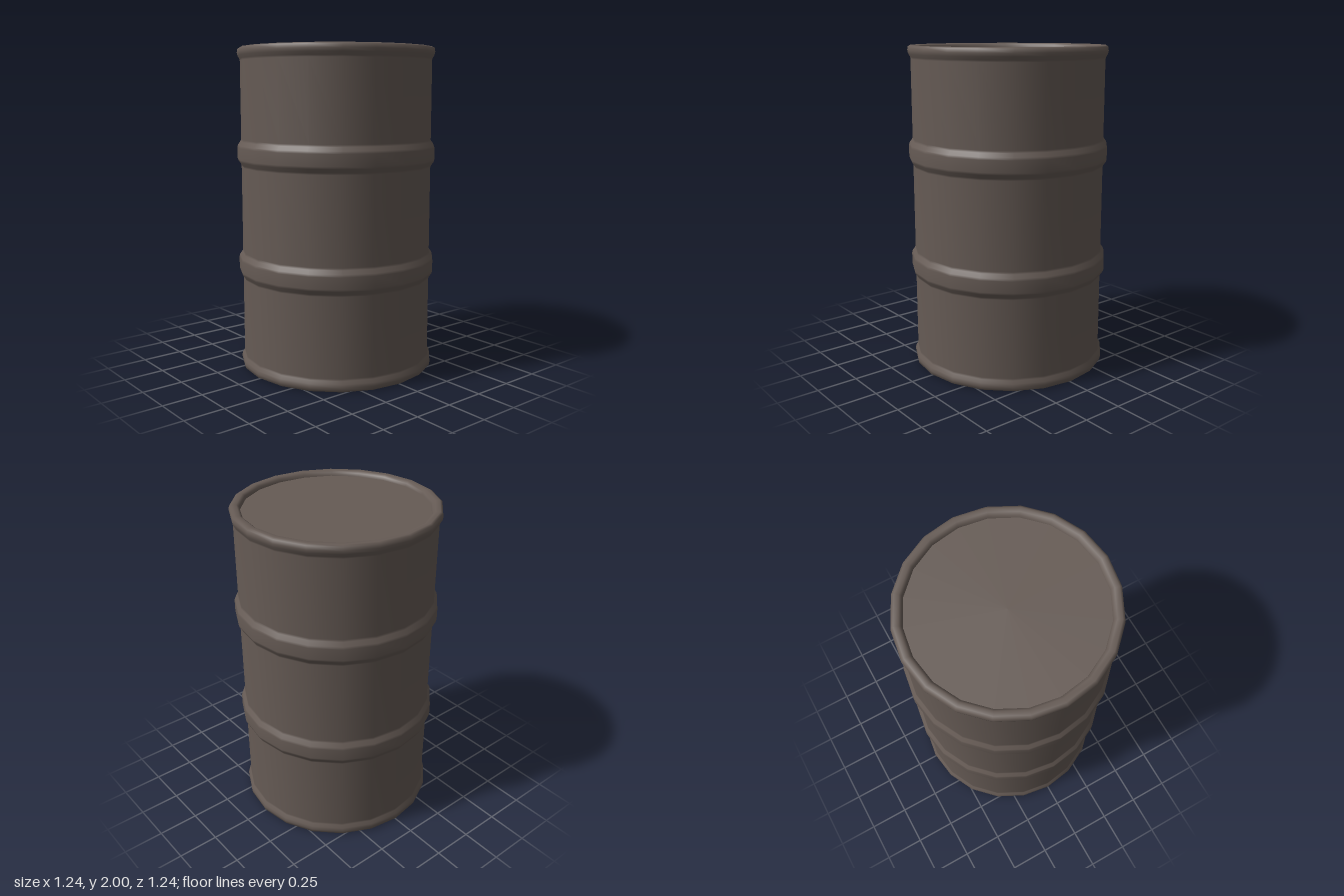
import * as THREE from 'three';

const SIDES = 20;
const LID_RADIUS = 0.55;
const RECESS = 0.03;

export function createModel() {
  const drum = new THREE.Group();
  drum.name = 'drum';
  const paint = new THREE.MeshStandardMaterial({ color: 0x665b55 });
  paint.name = 'drab brown paint';

  // Rim section, from the recessed end up and over the lip to the wall
  const rim = [
    [LID_RADIUS, RECESS], [0.555, 0.012], [0.57, 0.001], [0.597, 0],
    [0.611, 0.008], [0.615, 0.03], [0.611, 0.05], [0.6, 0.068], [0.597, 0.08],
  ];
  // Rolled hoop section, relative to the hoop's middle
  const hoop = [
    [0.597, -0.085], [0.601, -0.072], [0.617, -0.05], [0.621, -0.035],
    [0.621, 0.035], [0.617, 0.05], [0.601, 0.072], [0.597, 0.085],
  ];
  const hoopAt = (y) => hoop.map(([r, dy]) => [r, y + dy]);
  const topRim = rim.map(([r, y]) => [r, 2 - y]).reverse();

  // Shell with rims and two hoops, turned in one piece
  const profile = [...rim, ...hoopAt(0.655), ...hoopAt(1.355), ...topRim]
    .map(([r, y]) => new THREE.Vector2(r, y));
  const shell = new THREE.Mesh(new THREE.LatheGeometry(profile, SIDES), paint);
  shell.name = 'shell';
  drum.add(shell);

  // Recessed flat ends
  for (const [name, y, turn] of [['lid', 2 - RECESS, -1], ['base', RECESS, 1]]) {
    const end = new THREE.Mesh(new THREE.CircleGeometry(LID_RADIUS, SIDES), paint);
    end.name = name;
    end.rotation.x = turn * Math.PI / 2;
    end.position.y = y;
    drum.add(end);
  }
  return drum;
}
